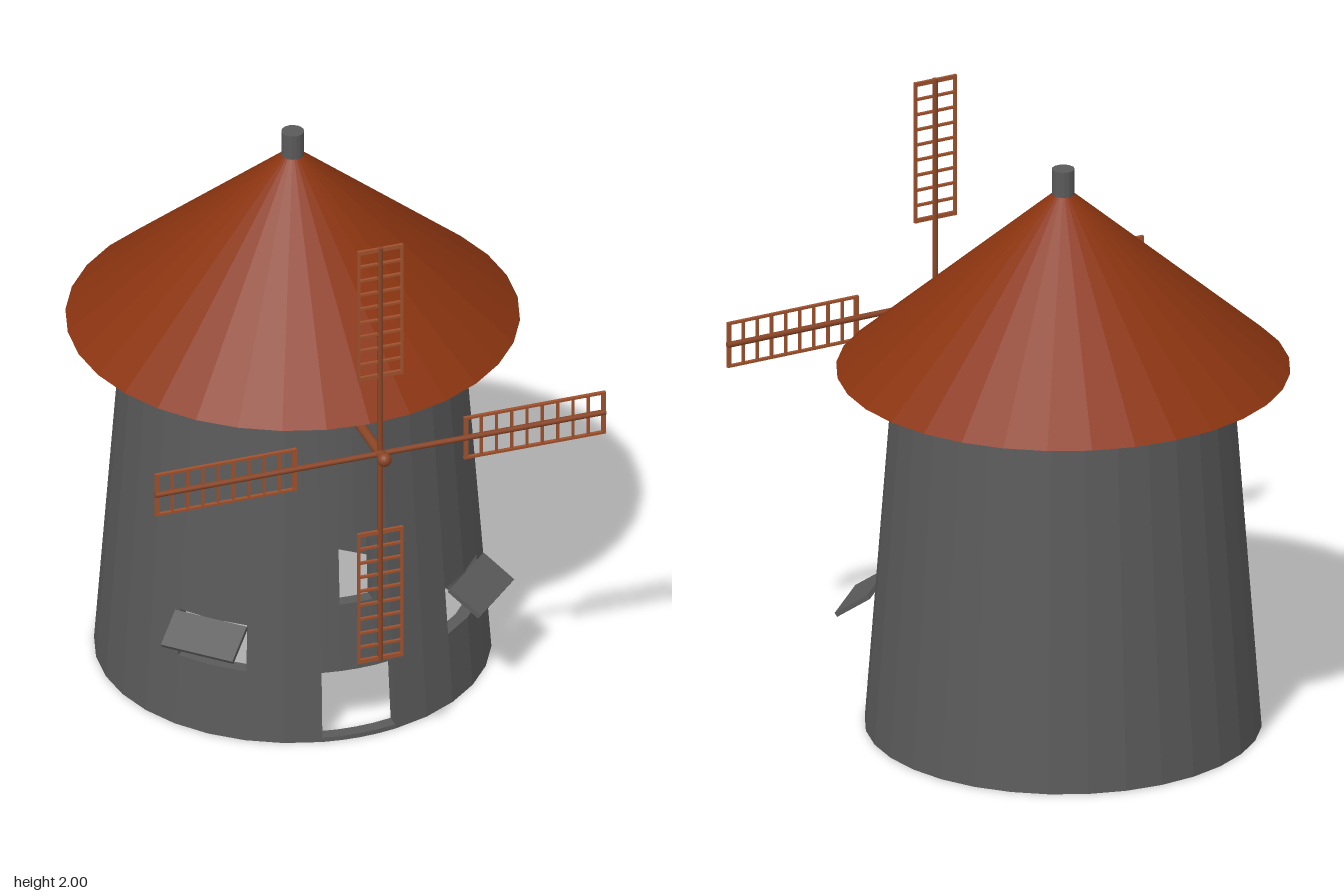
import * as THREE from 'three';

const STONE = new THREE.MeshStandardMaterial({ color: 0x5a5a5a, flatShading: true });
const ROOF = new THREE.MeshStandardMaterial({ color: 0x8a3410, flatShading: true });
const WOOD = new THREE.MeshStandardMaterial({ color: 0xa0522d, flatShading: true });
const ROUND_WOOD = new THREE.MeshStandardMaterial({ color: 0x8a4526 });

const AXIS_Z = -0.08; // tower centre line
const HUB_Y = 1.205;
const STEP = Math.PI / 16; // 32 facets round the tower

function add(parent, name, geometry, material, x = 0, y = 0, z = 0) {
  const mesh = new THREE.Mesh(geometry, material);
  mesh.name = name;
  mesh.position.set(x, y, z);
  parent.add(mesh);
  return mesh;
}

// Hollow tapered wall, made as a ring of cells; cells inside an opening are left out
function towerGeometry() {
  const levels = [0, 0.015, 0.255, 0.425, 0.5, 0.75, 1.31];
  const openings = [
    { at: 0, half: STEP, low: 0.015, high: 0.255 }, // door
    { at: 0, half: 0.093, low: 0.5, high: 0.75 }, // upper window
    { at: Math.PI / 4, half: STEP, low: 0.255, high: 0.425 },
    { at: -Math.PI / 4, half: STEP, low: 0.255, high: 0.425 },
  ];
  const angles = [-0.093, 0.093];
  for (let i = -16; i < 16; i++) angles.push(i * STEP);
  angles.sort((a, b) => a - b);
  const n = angles.length;

  // Jambs run parallel, so their inner angle is a little wider
  const innerAngle = (t) => {
    for (const o of openings) {
      const d = t - o.at;
      if (Math.abs(Math.abs(d) - o.half) < 1e-6) return o.at + d * 1.075;
    }
    return t;
  };
  const point = (i, y, inner) => {
    const t = angles[(i + n) % n];
    const a = inner ? innerAngle(t) : t;
    const r = 0.66 - 0.076 * y - (inner ? 0.045 : 0);
    return [r * Math.sin(a), y, r * Math.cos(a)];
  };
  const solid = (i, j) => {
    if (j < 0 || j >= levels.length - 1) return false;
    const k = (i + n) % n;
    const end = k === n - 1 ? Math.PI : angles[k + 1];
    const t = (angles[k] + end) / 2;
    const y = (levels[j] + levels[j + 1]) / 2;
    return !openings.some((o) => Math.abs(t - o.at) < o.half && y > o.low && y < o.high);
  };

  const pos = [];
  const quad = (a, b, c, d) => pos.push(...a, ...b, ...c, ...a, ...c, ...d);
  for (let i = 0; i < n; i++) {
    for (let j = 0; j < levels.length - 1; j++) {
      if (!solid(i, j)) continue;
      const [y0, y1] = [levels[j], levels[j + 1]];
      const [a, b, c, d] = [point(i, y0), point(i + 1, y0), point(i + 1, y1), point(i, y1)];
      const [e, f, g, h] = [point(i, y0, true), point(i + 1, y0, true), point(i + 1, y1, true), point(i, y1, true)];
      quad(a, b, c, d); // outside
      quad(f, e, h, g); // inside
      if (!solid(i + 1, j)) quad(b, f, g, c);
      if (!solid(i - 1, j)) quad(e, a, d, h);
      if (!solid(i, j + 1)) quad(d, c, g, h);
      if (!solid(i, j - 1)) quad(e, f, b, a);
    }
  }
  const geometry = new THREE.BufferGeometry();
  geometry.setAttribute('position', new THREE.Float32BufferAttribute(pos, 3));
  geometry.computeVertexNormals();
  return geometry;
}

// One sail pointing up from the hub: round arm plus a lattice frame
function createSail() {
  const sail = new THREE.Group();
  sail.name = 'sail';
  const inner = 0.295, outer = 0.795, half = 0.08;
  add(sail, 'arm', new THREE.CylinderGeometry(0.01, 0.01, outer, 10), ROUND_WOOD, 0, outer / 2, 0);
  for (const side of [-1, 1]) {
    add(sail, 'sideRail', new THREE.BoxGeometry(0.008, outer - inner, 0.012), WOOD,
      side * (half - 0.004), (inner + outer) / 2, 0);
  }
  const bars = 10;
  for (let i = 0; i < bars; i++) {
    const end = i === 0 || i === bars - 1;
    const y = THREE.MathUtils.lerp(inner + 0.007, outer - 0.007, i / (bars - 1));
    add(sail, 'crossBar', new THREE.BoxGeometry(half * 2, end ? 0.014 : 0.008, 0.01), WOOD, 0, y, 0);
  }
  return sail;
}

export function createModel() {
  const model = new THREE.Group();
  model.name = 'windmill';

  const building = new THREE.Group();
  building.name = 'building';
  building.position.z = AXIS_Z;
  model.add(building);
  add(building, 'towerWall', towerGeometry(), STONE);

  // Hollow conical roof with a bevelled eave
  const profile = [[0, 1.81], [0.66, 1.25], [0.71, 1.248], [0.755, 1.262], [0, 1.915]]
    .map(([r, y]) => new THREE.Vector2(r, y));
  add(building, 'roof', new THREE.LatheGeometry(profile, 32), ROOF);
  add(building, 'roofCap', new THREE.CylinderGeometry(0.038, 0.038, 0.11, 16), STONE, 0, 1.917, 0);

  // Sloping shutters over the two lower windows
  for (const side of [-1, 1]) {
    const mount = new THREE.Group();
    mount.name = 'windowShutter';
    mount.rotation.y = side * Math.PI / 4;
    building.add(mount);
    const flap = add(mount, 'shutterFlap', new THREE.BoxGeometry(0.262, 0.016, 0.135), STONE, 0, 0.39, 0.69);
    flap.rotation.x = 0.59;
  }

  // Axle and sails
  const rotor = new THREE.Group();
  rotor.name = 'rotor';
  rotor.position.y = HUB_Y;
  model.add(rotor);
  const axle = add(rotor, 'axle', new THREE.CylinderGeometry(0.017, 0.017, 0.4, 16), ROUND_WOOD, 0, 0, 0.62);
  axle.rotation.x = Math.PI / 2;
  add(rotor, 'hubBall', new THREE.SphereGeometry(0.024, 16, 12), ROUND_WOOD, 0, 0, 0.817);
  for (let i = 0; i < 4; i++) {
    const sail = createSail();
    sail.position.z = 0.775;
    sail.rotation.z = i * Math.PI / 2;
    rotor.add(sail);
  }
  return model;
}
